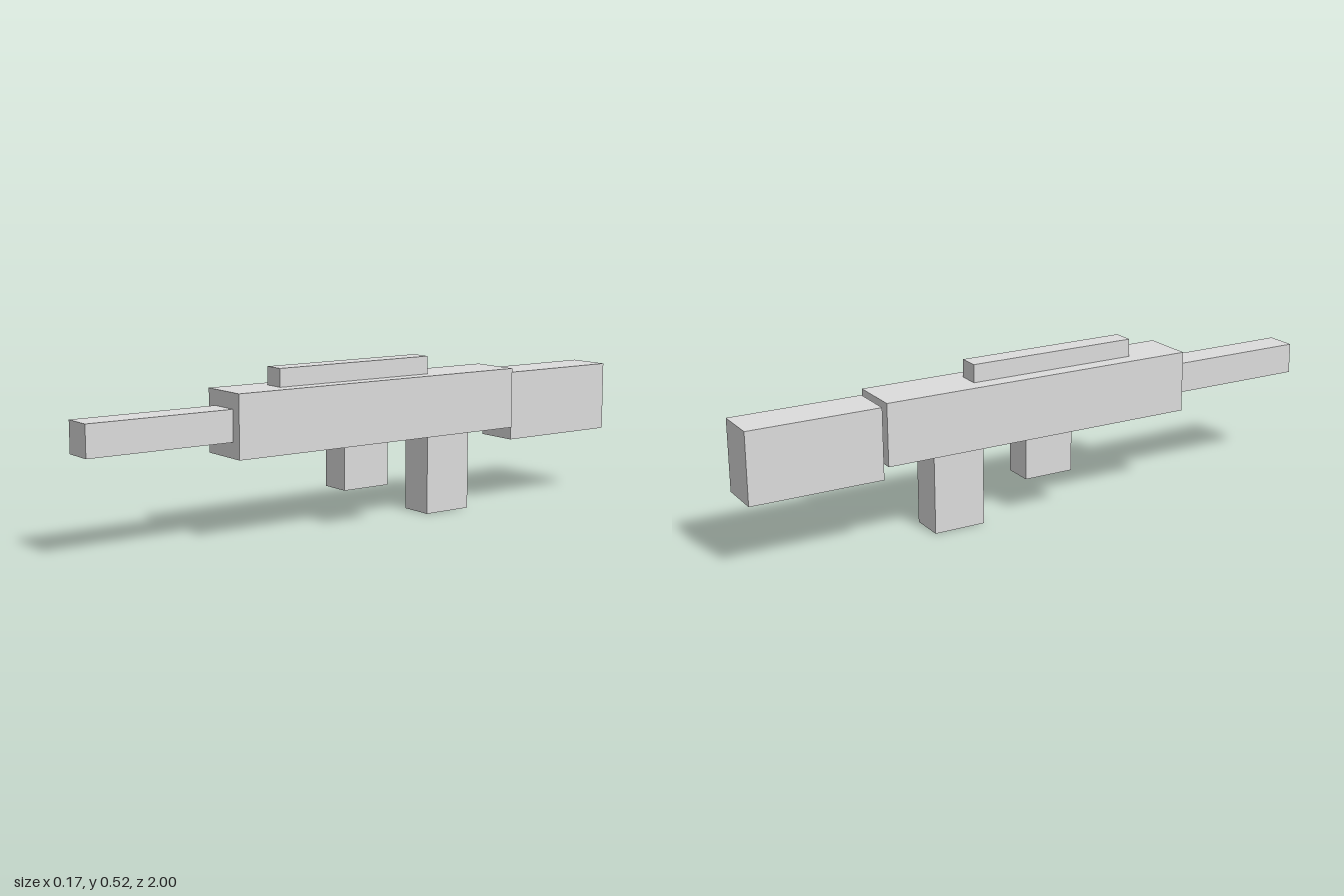
import * as THREE from 'three';

export function createModel() {
  const model = new THREE.Group();
  const grey = new THREE.MeshStandardMaterial({ color: 0xdcdcdc });
  grey.name = 'light grey';

  // Box centred on x, given its width and its y and z extents
  const block = (name, width, [y0, y1], [z0, z1]) => {
    const mesh = new THREE.Mesh(new THREE.BoxGeometry(width, y1 - y0, z1 - z0), grey);
    mesh.position.set(0, (y0 + y1) / 2, (z0 + z1) / 2);
    mesh.name = name;
    model.add(mesh);
  };

  block('body', 0.173, [0.26, 0.46], [-0.56, 0.516]);
  block('barrel', 0.102, [0.31, 0.41], [0.516, 1]);
  block('topRail', 0.07, [0.46, 0.518], [-0.238, 0.336]);
  block('magazine', 0.102, [0.115, 0.26], [-0.063, 0.107]);
  block('grip', 0.116, [0, 0.26], [-0.393, -0.221]);
  // The stock sits just behind the body with a narrow gap
  block('stock', 0.145, [0.216, 0.445], [-1, -0.569]);

  return model;
}
